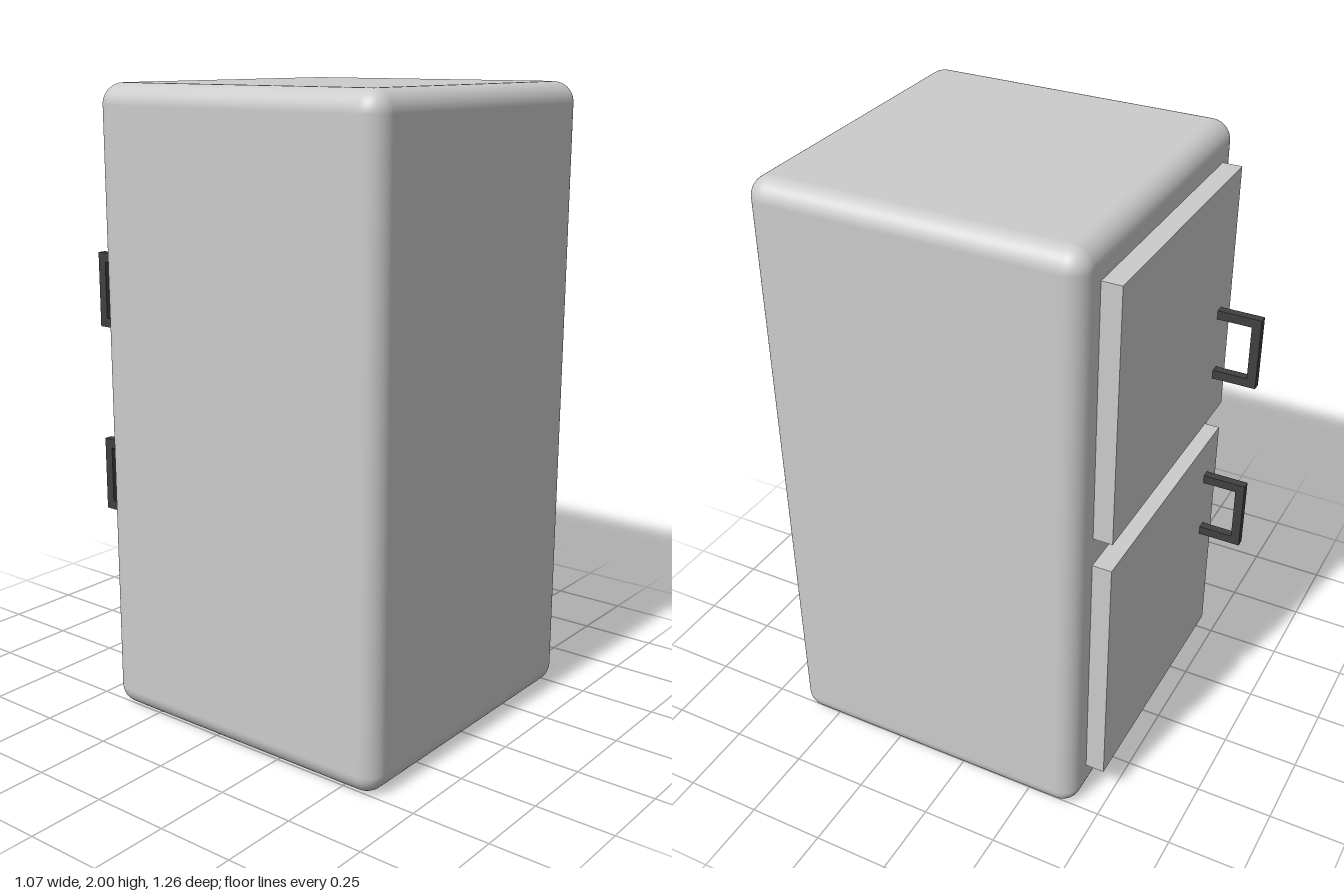
import * as THREE from 'three';
import { RoundedBoxGeometry } from 'three/addons/geometries/RoundedBoxGeometry.js';

const grey = new THREE.MeshStandardMaterial({ color: 0xcccccc });
const dark = new THREE.MeshStandardMaterial({ color: 0x404040 });

function part(name, geometry, material, x, y, z) {
  const mesh = new THREE.Mesh(geometry, material);
  mesh.name = name;
  mesh.position.set(x, y, z);
  return mesh;
}

// C-shaped pull: two arms standing off the door, joined by a grip
function createHandle(name) {
  const height = 0.245, depth = 0.145, bar = 0.03;
  const outline = new THREE.Shape([
    [0, 0], [depth, 0], [depth, height], [0, height],
    [0, height - bar], [depth - bar, height - bar], [depth - bar, bar], [0, bar],
  ].map(([x, y]) => new THREE.Vector2(x, y - height / 2)));
  const geometry = new THREE.ExtrudeGeometry(outline, { depth: 0.028, bevelEnabled: false });
  geometry.translate(0, 0, -0.014);
  geometry.rotateY(Math.PI / 2); // stand-off direction becomes -z
  return part(name, geometry, dark, 0, 0, 0);
}

export function createModel() {
  const fridge = new THREE.Group();
  fridge.name = 'refrigerator';

  // Cabinet with softly rounded edges
  fridge.add(part('cabinet', new RoundedBoxGeometry(1.066, 2, 1.05, 6, 0.065), grey, 0, 1, 0.103));

  // Two doors on the -z side, each with its handle
  const doors = [
    { name: 'upper', y: 1.472, handleY: 1.332 },
    { name: 'lower', y: 0.538, handleY: 0.705 },
  ];
  for (const { name, y, handleY } of doors) {
    fridge.add(part(name + 'Door', new THREE.BoxGeometry(0.858, 0.835, 0.08), grey, 0, y, -0.444));
    const handle = createHandle(name + 'Handle');
    handle.position.set(-0.331, handleY, -0.483);
    fridge.add(handle);
  }
  return fridge;
}
